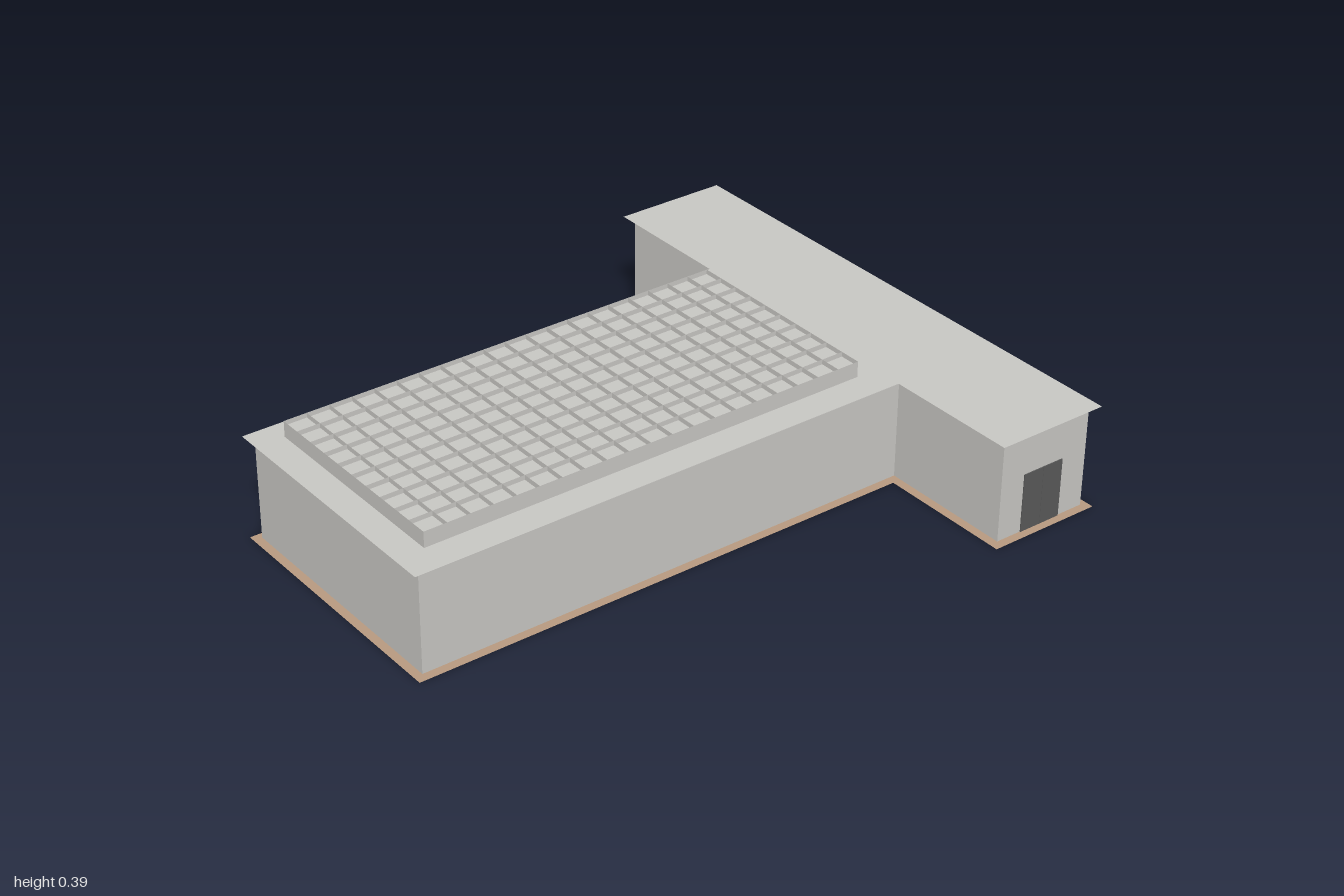
import * as THREE from 'three';

const concrete = new THREE.MeshStandardMaterial({ name: 'paleConcrete', color: 0xc8c7c3, side: THREE.DoubleSide });
const ground = new THREE.MeshStandardMaterial({ name: 'tanFloor', color: 0xb89a80, side: THREE.DoubleSide });
const doorGrey = new THREE.MeshStandardMaterial({ name: 'darkDoor', color: 0x5a5a5a });

// T-shaped plan: wide bar at the back, long hall towards the front (shape y is -z)
function planShape(inset) {
  const bar = 0.866 - inset, hall = 0.431 - inset, end = 1 - inset, step = 0.63 + inset;
  return new THREE.Shape([
    [-hall, -end], [hall, -end], [hall, step], [bar, step],
    [bar, end], [-bar, end], [-bar, step], [-hall, step],
  ].map(([x, y]) => new THREE.Vector2(x, y)));
}

export function createModel() {
  const group = new THREE.Group();
  const add = (name, geometry, material, x = 0, y = 0, z = 0) => {
    const mesh = new THREE.Mesh(geometry, material);
    mesh.name = name;
    mesh.position.set(x, y, z);
    group.add(mesh);
    return mesh;
  };

  // Floor sheet, walls and overhanging roof sheet
  add('floor', new THREE.ShapeGeometry(planShape(0)).rotateX(-Math.PI / 2), ground);
  const walls = new THREE.ExtrudeGeometry(planShape(0.025), { depth: 0.324, bevelEnabled: false });
  add('walls', walls.rotateX(-Math.PI / 2), concrete, 0, 0.003);
  add('roof', new THREE.ShapeGeometry(planShape(0)).rotateX(-Math.PI / 2), concrete, 0, 0.33);

  // Double doors in both ends of the bar
  for (const side of [-1, 1]) {
    for (const leaf of [-1, 1]) {
      add('doorLeaf', new THREE.BoxGeometry(0.006, 0.188, 0.0715), doorGrey,
        side * 0.841, 0.097, -0.8125 + leaf * 0.0363);
    }
  }

  // Rooftop skylight: plinth, tray and raised rim
  const width = 0.69, length = 1.465, top = 0.39, lip = 0.015, midZ = 0.1825;
  const trayHeight = top - lip - 0.34;
  add('skylightPlinth', new THREE.BoxGeometry(0.5, 0.012, 1.28), concrete, 0, 0.335, 0.17);
  add('skylightTray', new THREE.BoxGeometry(width, trayHeight, length), concrete,
    0, 0.34 + trayHeight / 2, midZ);

  // Grid of thin upright fins on the tray
  const columns = 10, rows = 20, finY = top - lip / 2;
  const longFin = new THREE.PlaneGeometry(length, lip).rotateY(Math.PI / 2);
  const crossFin = new THREE.PlaneGeometry(width, lip);
  for (let i = 0; i <= columns; i++) {
    add('longFin', longFin, concrete, -width / 2 + (width * i) / columns, finY, midZ);
  }
  for (let j = 0; j <= rows; j++) {
    add('crossFin', crossFin, concrete, 0, finY, midZ - length / 2 + (length * j) / rows);
  }
  return group;
}
